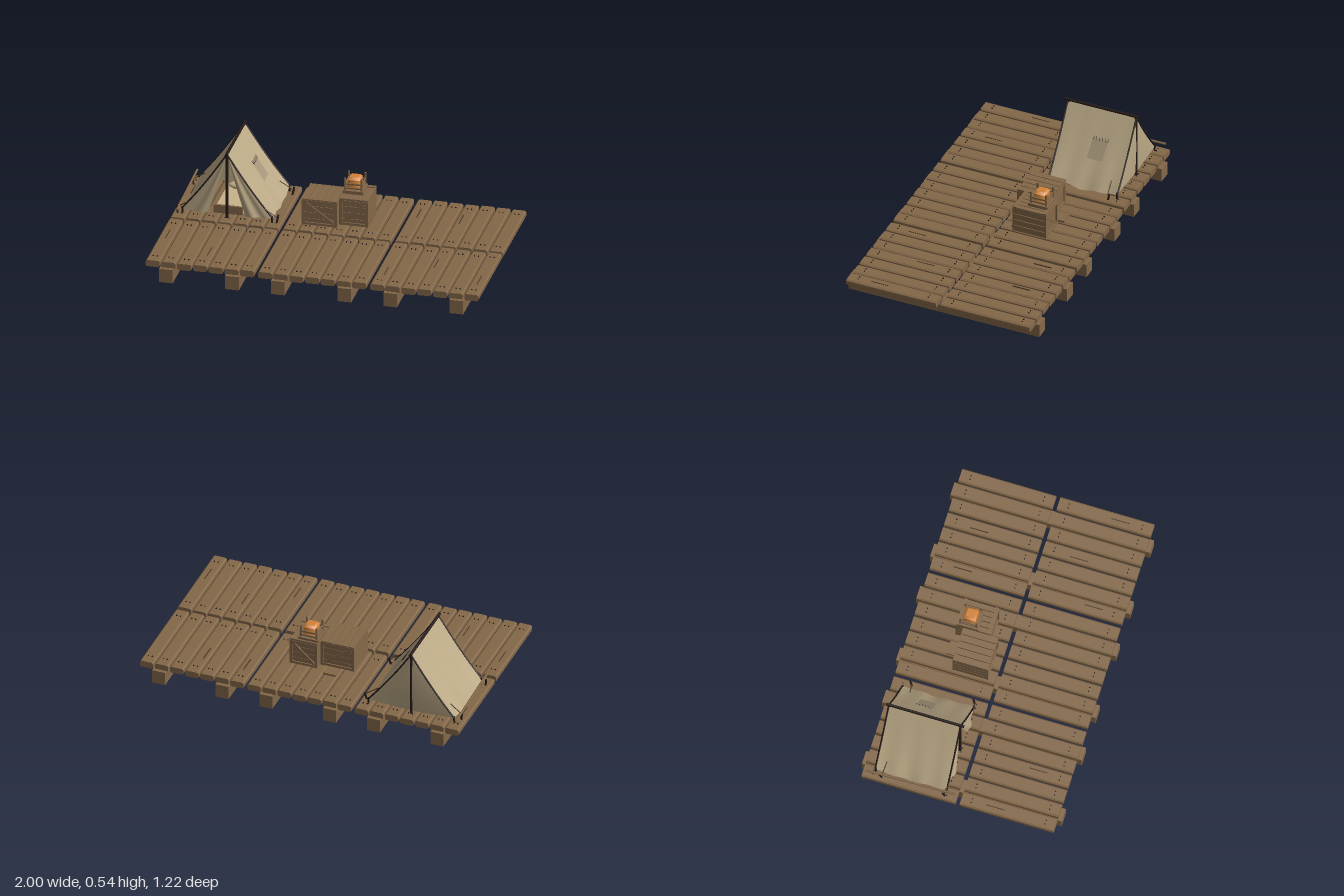
import * as THREE from 'three';

const paint = (name, color, side = THREE.FrontSide) => {
  const m = new THREE.MeshStandardMaterial({ color, side });
  m.name = name;
  return m;
};

export function createModel() {
  const model = new THREE.Group();
  model.name = 'raftCamp';
  const wood = paint('wood', 0x846849);
  const crack = paint('darkWood', 0x4a3826);
  const dark = paint('darkPole', 0x241a18);
  const canvas = paint('canvas', 0xbba986, THREE.DoubleSide);
  const patchCloth = paint('patchCloth', 0xa6957a, THREE.DoubleSide);
  const orange = paint('orangeGlow', 0xd28237);
  const cream = paint('cream', 0xc9b48a);

  const group = (name, parent = model) => {
    const g = new THREE.Group();
    g.name = name;
    parent.add(g);
    return g;
  };
  const add = (parent, name, geo, mat) => {
    const m = new THREE.Mesh(geo, mat);
    m.name = name;
    parent.add(m);
    return m;
  };
  const box = (parent, name, mat, w, h, d, x, y, z) => {
    const m = add(parent, name, new THREE.BoxGeometry(w, h, d), mat);
    m.position.set(x, y, z);
    return m;
  };
  // Round rod between two points
  const rod = (parent, name, mat, a, b, r, sides = 8) => {
    const p = new THREE.Vector3(...a), q = new THREE.Vector3(...b), dir = q.clone().sub(p);
    const m = add(parent, name, new THREE.CylinderGeometry(r, r, dir.length(), sides), mat);
    m.position.copy(p).add(q).multiplyScalar(0.5);
    m.quaternion.setFromUnitVectors(new THREE.Vector3(0, 1, 0), dir.normalize());
    return m;
  };
  // Smooth cloth sheet from a rule fn(u, v) -> [x, y, z]
  const cloth = (parent, name, mat, fn, nu = 16, nv = 16) => {
    const geo = new THREE.PlaneGeometry(1, 1, nu, nv), pos = geo.attributes.position;
    for (let i = 0; i < pos.count; i++) pos.setXYZ(i, ...fn(pos.getX(i) + 0.5, 0.5 - pos.getY(i)));
    geo.computeVertexNormals();
    return add(parent, name, geo, mat);
  };

  // Deck: six pallets of seven chamfered planks on long beams
  const deck = group('deck');
  for (const x of [-0.873, -0.475, -0.2, 0.2, 0.475, 0.873])
    box(deck, 'beam', wood, 0.082, 0.086, 1.22, x, 0.043, 0);
  const W = 0.042, L = 0.287, c = 0.008;
  const profile = new THREE.Shape([[-W + c, 0], [W - c, 0], [W, c], [W, 0.04 - c], [W - c, 0.04],
    [-W + c, 0.04], [-W, 0.04 - c], [-W, c]].map(p => new THREE.Vector2(...p)));
  const plankGeo = new THREE.ExtrudeGeometry(profile, { depth: 2 * L, bevelEnabled: false }).translate(0, 0, -L);
  const nailGeo = new THREE.CylinderGeometry(0.004, 0.004, 0.006, 6);
  for (const cx of [-0.674, 0, 0.674])
    for (const cz of [-0.3, 0.3])
      for (let i = 0; i < 7; i++) {
        const x = cx + (i - 3) * 0.0945, lift = ((i * 5 + (cz > 0 ? 2 : 0)) % 3) * 0.0015;
        add(deck, 'plank', plankGeo, wood).position.set(x, 0.08 + lift, cz);
        for (const dz of [-0.225, 0.225])
          for (const dx of [-0.012, 0.012])
            add(deck, 'nail', nailGeo, dark).position.set(x + dx, 0.122 + lift, cz + dz);
      }
  for (const [x, z] of [[-0.957, -0.4], [-0.957, 0.22], [-0.664, 0.39], [0.4, -0.4], [0.4, 0.4],
    [0.66, -0.38], [0.66, 0.23], [0.957, 0.39]])
    box(deck, 'crack', crack, 0.005, 0.006, 0.11, x, 0.122, z);

  // Tent
  const tent = group('tent');
  const cx = -0.675, top = 0.53, zF = -0.085, zB = -0.515, half = 0.272;
  rod(tent, 'ridgePole', dark, [cx, 0.534, -0.06], [cx, 0.534, -0.535], 0.009);
  for (const z of [zF, zB]) rod(tent, 'centrePole', dark, [cx, 0.12, z], [cx, 0.535, z], 0.009);
  const slope = v => top - 0.38 * v - 0.014 * Math.sin(Math.PI * v);
  for (const s of [-1, 1]) {
    cloth(tent, 'roofSide', canvas, (u, v) => [
      cx + s * (half * v + 0.003 * v * Math.sin(u * 19)),
      slope(v) - 0.022 * v ** 4 * Math.sin(Math.PI * u) * (1 + 0.3 * Math.sin(u * 16)),
      zF + (zB - zF) * u], 28, 16);
    cloth(tent, 'frontFlap', canvas, (u, v) => [
      cx + s * v * (half - 0.16 * u), slope(v) - 0.005 * v,
      zF + 0.022 * v * u * (1 + 0.5 * Math.sin(u * 11))]);
    for (const z of [zF + 0.004, zB - 0.004]) {
      // Edge poles follow the sagging roof line
      const path = new THREE.CatmullRomCurve3([0, 0.35, 0.7, 1].map(v =>
        new THREE.Vector3(cx + s * half * v, slope(v), z)));
      add(tent, 'edgePole', new THREE.TubeGeometry(path, 12, 0.005, 6), dark);
    }
    for (const z of [zF, -0.47]) {
      rod(tent, 'stake', dark, [cx + s * 0.297, 0.115, z], [cx + s * 0.305, 0.166, z - 0.012], 0.006);
      rod(tent, 'guyRope', crack, [cx + s * 0.225, 0.205, z + 0.01], [cx + s * 0.3, 0.155, z], 0.003);
    }
    for (const z of [zF, zB])
      rod(tent, 'cornerPeg', dark, [cx + s * 0.27, 0.115, z], [cx + s * 0.268, 0.16, z], 0.006);
  }
  cloth(tent, 'backWall', canvas, (u, v) => [
    cx + (2 * u - 1) * half * v, slope(v) - 0.012 * v ** 3 * Math.sin(Math.PI * u),
    zB - 0.006 * Math.sin(Math.PI * u) * Math.sin(Math.PI * v)]);
  rod(tent, 'sidePole', wood, [-0.962, 0.165, -0.025], [-0.975, 0.165, -0.572], 0.007);

  // Patch with stitches on the tent's left slope
  cloth(tent, 'patch', patchCloth, (u, v) => {
    const t = 0.355 + 0.27 * v;
    return [cx + half * t + 0.006, slope(t) + 0.005, -0.287 - 0.098 * u + 0.008 * v];
  }, 4, 4);
  for (let i = 0; i < 6; i++) {
    const z = -0.292 - i * 0.018;
    rod(tent, 'stitch', dark, [cx + half * 0.33 + 0.007, slope(0.33) + 0.005, z],
      [cx + half * 0.38 + 0.008, slope(0.38) + 0.006, z - 0.004], 0.0015, 4);
  }

  // Bedding in the tent
  box(tent, 'footBoard', wood, 0.175, 0.05, 0.014, cx, 0.157, -0.115);
  box(tent, 'mattress', cream, 0.17, 0.025, 0.34, cx, 0.14, -0.3);
  const pillow = add(tent, 'pillow', new THREE.SphereGeometry(1, 16, 10), cream);
  pillow.scale.set(0.075, 0.022, 0.04);
  pillow.position.set(cx, 0.165, -0.43);

  // Slatted crates with framed, braced ends
  const crate = (name, x, z, w, d, lean) => {
    const g = group(name), y0 = 0.142, h = 0.16;
    g.position.set(x, y0, z);
    box(g, 'core', crack, w - 0.02, h - 0.014, d - 0.02, 0, h / 2, 0);
    for (let i = 0; i < 4; i++) {
      const y = (i + 0.5) * h / 4;
      for (const s of [-1, 1]) {
        box(g, 'sideSlat', wood, 0.012, h / 4 - 0.004, d - 0.012, s * (w / 2 - 0.007), y, 0);
        box(g, 'endSlat', wood, w - 0.012, h / 4 - 0.002, 0.008, 0, y, s * (d / 2 - 0.01));
      }
    }
    for (let i = 0; i < 5; i++)
      box(g, 'lidSlat', wood, w / 5 - 0.004, 0.012, d, (i - 2) * w / 5, h, 0);
    const bw = w - 0.034, bh = h - 0.034;
    for (const s of [-1, 1]) {
      const z2 = s * (d / 2 - 0.003);
      for (const t of [-1, 1]) {
        box(g, 'cornerPost', wood, 0.017, h, 0.01, t * (w / 2 - 0.0085), h / 2, z2);
        box(g, 'rail', wood, bw, 0.015, 0.01, 0, h / 2 + t * (h / 2 - 0.009), z2);
      }
      box(g, 'brace', wood, Math.hypot(bw, bh) - 0.012, 0.016, 0.008, 0, h / 2, z2)
        .rotation.z = lean * Math.atan2(bh, bw);
    }
    return g;
  };
  crate('wideCrate', -0.115, -0.163, 0.212, 0.212, -1);
  const tall = crate('lanternCrate', 0.08, -0.21, 0.172, 0.212, 1);
  for (const s of [-1, 1]) box(tall, 'lidBatten', wood, 0.172, 0.007, 0.022, 0, 0.168, s * 0.095);
  box(model, 'looseBoard', wood, 0.08, 0.012, 0.08, -0.09, 0.129, -0.295);

  // Lantern in a wooden cage
  const lamp = group('lantern');
  lamp.position.set(0.056, 0.308, -0.243);
  box(lamp, 'base', wood, 0.125, 0.02, 0.125, 0, 0.01, 0);
  const glowGeo = new THREE.CylinderGeometry(0.049, 0.056, 0.06, 4, 1).rotateY(Math.PI / 4);
  add(lamp, 'glow', glowGeo, orange).position.y = 0.05;
  const capGeo = new THREE.CylinderGeometry(0.036, 0.054, 0.015, 4, 1).rotateY(Math.PI / 4);
  add(lamp, 'glowTop', capGeo, orange).position.y = 0.086;
  for (const s of [-1, 1]) {
    for (const t of [-1, 1]) box(lamp, 'post', wood, 0.01, 0.078, 0.01, s * 0.049, 0.057, t * 0.049);
    for (const y of [0.032, 0.058]) {
      box(lamp, 'sideRail', wood, 0.008, 0.009, 0.112, s * 0.049, y, 0);
      box(lamp, 'frontRail', wood, 0.112, 0.009, 0.008, 0, y, s * 0.049);
    }
  }
  return model;
}
